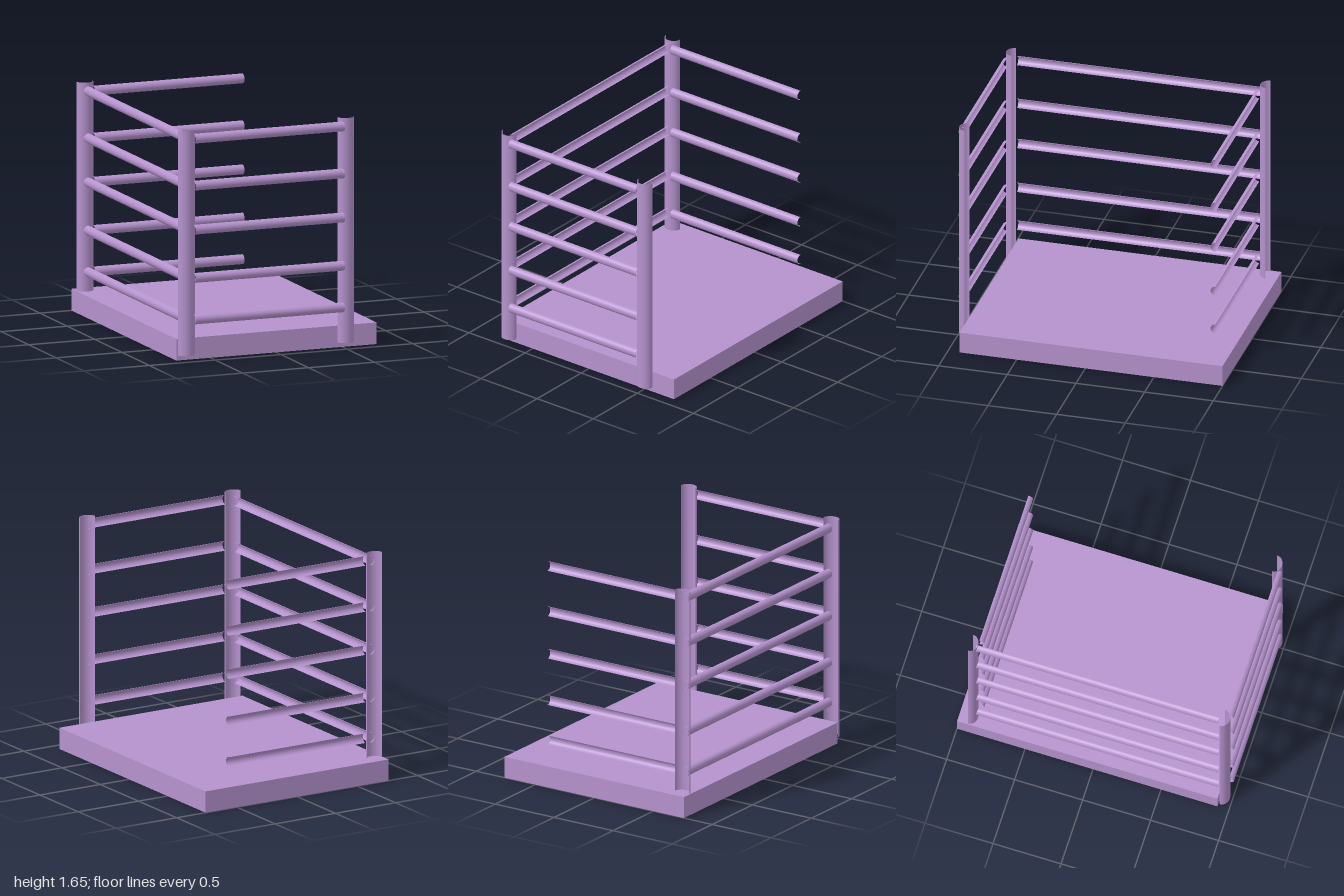
import * as THREE from 'three';

export function createModel() {
  const model = new THREE.Group();
  const material = new THREE.MeshStandardMaterial({ color: 0xb592cd, side: THREE.DoubleSide });

  const add = (name, geometry, x, y, z) => {
    const mesh = new THREE.Mesh(geometry, material);
    mesh.name = name;
    mesh.position.set(x, y, z);
    model.add(mesh);
    return mesh;
  };

  // Open half-round shell standing upright, bulging toward +z from its flat plane
  const halfShell = (radius, depth, length) =>
    new THREE.CylinderGeometry(radius, radius, length, 24, 1, true, -Math.PI / 2, Math.PI)
      .scale(1, 1, depth / radius);

  // Base slab
  add('base', new THREE.BoxGeometry(1.52, 0.155, 1.915), 0, 0.0775, -0.0425);

  // Three corner posts, the fourth corner is left free
  const post = halfShell(0.0615, 0.055, 1.61);
  add('frontRightPost', post, -0.692, 0.845, 0.93);
  add('frontLeftPost', post, 0.517, 0.845, 0.93);
  add('backRightPost', post, -0.692, 0.845, -0.922);

  // Five levels of half-round rails on the front, back and right side
  const crossRail = halfShell(0.035, 0.035, 1.135).rotateZ(Math.PI / 2);
  const sideRail = halfShell(0.035, 0.035, 1.785).rotateZ(Math.PI / 2).rotateY(-Math.PI / 2);
  for (const y of [0.295, 0.592, 0.937, 1.252, 1.588]) {
    add('frontRail', crossRail, -0.082, y, 0.965);
    add('backRail', crossRail, -0.082, y, -0.87);
    add('sideRail', sideRail, -0.685, y, 0.0125);
  }

  return model;
}
